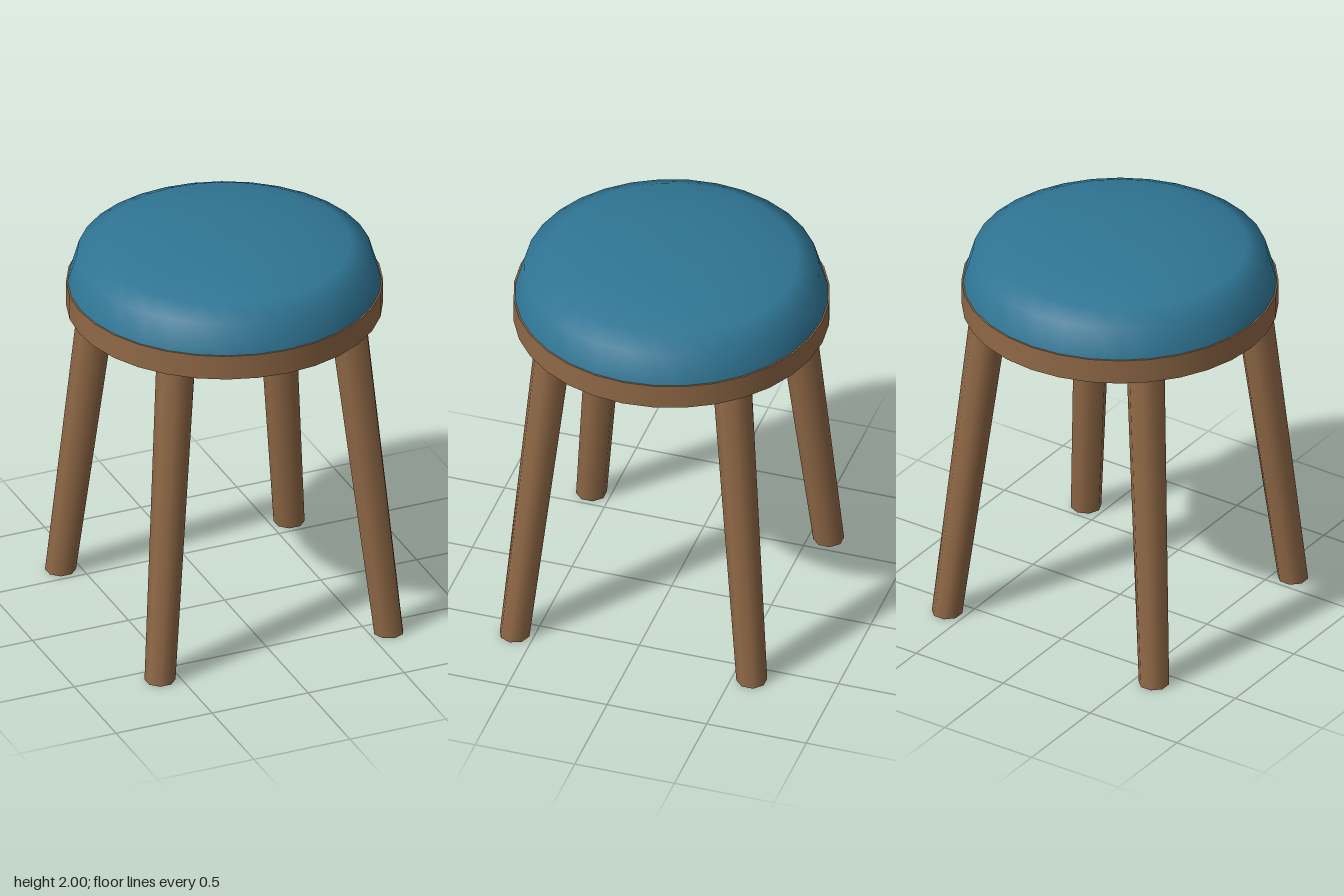
import * as THREE from 'three';

const SIDES = 32;

export function createModel() {
  const wood = new THREE.MeshStandardMaterial({ color: 0x8f6846 });
  wood.name = 'wood';
  const fabric = new THREE.MeshStandardMaterial({ color: 0x2f7594 });
  fabric.name = 'blueFabric';

  const stool = new THREE.Group();
  stool.name = 'stool';
  const add = (name, geometry, material) => {
    const mesh = new THREE.Mesh(geometry, material);
    mesh.name = name;
    stool.add(mesh);
    return mesh;
  };

  // Round wooden seat board
  add('seatBoard', new THREE.CylinderGeometry(0.757, 0.757, 0.125, SIDES), wood).position.y = 1.6825;

  // Domed cushion, from the rim to the crown
  const profile = [
    [0.75, 1.742], [0.705, 1.895], [0.607, 1.945], [0.43, 1.978], [0.23, 1.996], [0, 2],
  ].map(([r, y]) => new THREE.Vector2(r, y));
  add('cushion', new THREE.LatheGeometry(profile, SIDES), fabric);

  // Splayed, tapered eight-sided legs with level feet
  const height = 1.64;
  const footOffset = 0.595;
  const topOffset = 0.449;
  const addLeg = (name, sx, sz, turn) => {
    const geometry = new THREE.CylinderGeometry(0.093, 0.074, height, 8);
    geometry.rotateY(turn);
    geometry.translate(0, height / 2, 0);
    // Shear outwards towards the floor
    const slope = (topOffset - footOffset) / height;
    geometry.applyMatrix4(new THREE.Matrix4().set(
      1, sx * slope, 0, sx * footOffset,
      0, 1, 0, 0,
      0, sz * slope, 1, sz * footOffset,
      0, 0, 0, 1,
    ));
    add(name, geometry, wood);
  };
  addLeg('frontLeftLeg', 1, 1, 0);
  addLeg('frontRightLeg', -1, 1, Math.PI / 8);
  addLeg('backLeftLeg', 1, -1, Math.PI / 8);
  addLeg('backRightLeg', -1, -1, Math.PI / 8);

  return stool;
}
